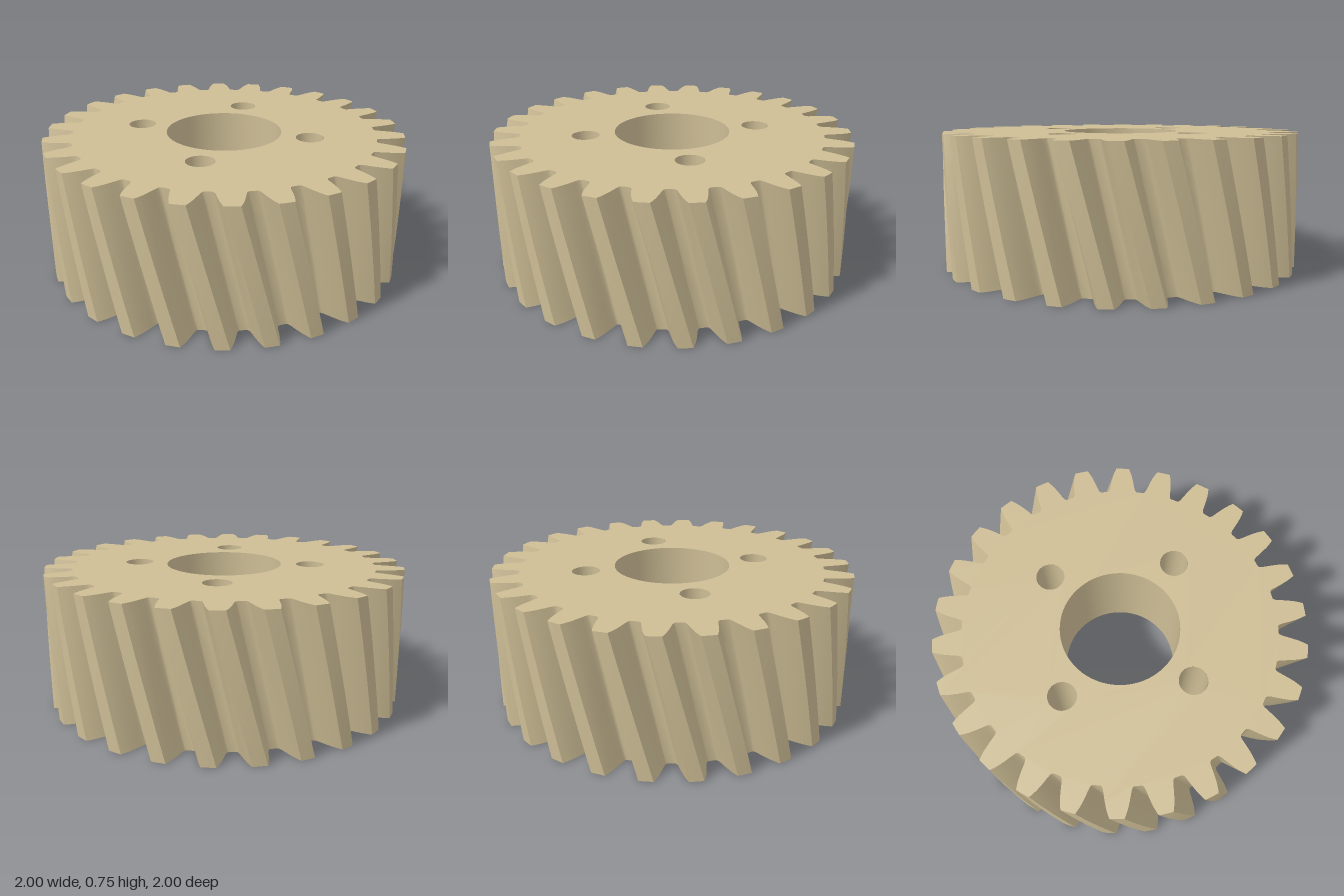
import * as THREE from 'three';
import { toCreasedNormals } from 'three/addons/utils/BufferGeometryUtils.js';

const TEETH = 26, HEIGHT = 0.755, RECESS = 0.19;
const TWIST = 11.3, TOP_PHASE = 2.5; // degrees
const BORE = 0.322, CHAMFER = 0.022, RECESS_R = 0.74;
const BOLT_R = 0.077, BOLT_CIRCLE = 0.485;
const RAD = Math.PI / 180;

// Half of one tooth, from tip corner to gap: [degrees from the gap centre, radius]
const FLANK = [[4.8, 1], [4.25, 0.978], [3.7, 0.953], [3.05, 0.915], [2.5, 0.88], [2.15, 0.86], [1.75, 0.849], [1.2, 0.845]];

// Tooth outline at height y, as [x, z] pairs
function outline(y) {
  const pitch = 360 / TEETH, pts = [];
  const shift = TOP_PHASE + TWIST * (1 - y / HEIGHT);
  const add = (deg, r) => pts.push([r * Math.sin(deg * RAD), r * Math.cos(deg * RAD)]);
  for (let i = 0; i < TEETH; i++) {
    const tooth = shift + i * pitch, gap = tooth + pitch / 2;
    add(tooth, 1);
    FLANK.forEach(([d, r]) => add(gap - d, r));
    [...FLANK].reverse().forEach(([d, r]) => add(gap + d, r));
  }
  return pts;
}

// Helical tooth surface lofted through twisted outlines
function toothSurface(steps = 16) {
  const pos = [], index = [];
  const n = outline(0).length;
  for (let s = 0; s <= steps; s++) {
    const y = HEIGHT * s / steps;
    outline(y).forEach(([x, z]) => pos.push(x, y, z));
  }
  for (let s = 0; s < steps; s++) {
    for (let i = 0; i < n; i++) {
      const a = s * n + i, b = s * n + (i + 1) % n, c = b + n, d = a + n;
      index.push(a, b, d, b, c, d);
    }
  }
  const geo = new THREE.BufferGeometry();
  geo.setAttribute('position', new THREE.Float32BufferAttribute(pos, 3));
  geo.setIndex(index);
  return toCreasedNormals(geo, 0.6);
}

const boltCentres = [0, 1, 2, 3].map(i =>
  [BOLT_CIRCLE * Math.cos(i * Math.PI / 2), BOLT_CIRCLE * Math.sin(i * Math.PI / 2)]);

function circle(r, x = 0, y = 0) {
  return new THREE.Path().absarc(x, y, r, 0, Math.PI * 2, true);
}

// Horizontal face; dir 1 looks up, -1 looks down
function flatFace(shape, holes, y, dir) {
  shape.holes.push(...holes);
  const geo = new THREE.ShapeGeometry(shape, 36);
  geo.rotateX(-dir * Math.PI / 2);
  geo.translate(0, y, 0);
  return geo;
}

function gearShape(y, dir) {
  return new THREE.Shape(outline(y).map(([x, z]) => new THREE.Vector2(x, -dir * z)));
}

// Inward-facing wall, profile given from top to bottom
function innerWall(points, segments = 72) {
  const geo = new THREE.LatheGeometry(points.map(p => new THREE.Vector2(...p)), segments);
  return toCreasedNormals(geo, 0.5);
}

export function createModel() {
  const gear = new THREE.Group();
  gear.name = 'helicalGear';
  const material = new THREE.MeshStandardMaterial({ color: 0xcdbd95 });
  const add = (name, geo) => {
    const mesh = new THREE.Mesh(geo, material);
    mesh.name = name;
    gear.add(mesh);
    return mesh;
  };
  const boltHoles = () => boltCentres.map(([x, z]) => circle(BOLT_R, x, z));

  add('helicalTeeth', toothSurface());
  add('topFace', flatFace(gearShape(HEIGHT, 1), [circle(BORE), ...boltHoles()], HEIGHT, 1));

  // Underside: toothed rim around a round recess
  add('bottomRim', flatFace(gearShape(0, -1), [circle(RECESS_R)], 0, -1));
  add('recessWall', innerWall([[RECESS_R, RECESS], [RECESS_R, 0]]));
  const disc = new THREE.Shape().absarc(0, 0, RECESS_R, 0, Math.PI * 2, false);
  add('recessFloor', flatFace(disc, [circle(BORE + CHAMFER), ...boltHoles()], RECESS, -1));

  // Shaft bore, chamfered at its lower end, and four bolt holes
  add('shaftBore', innerWall([[BORE, HEIGHT], [BORE, RECESS + CHAMFER], [BORE + CHAMFER, RECESS]]));
  boltCentres.forEach(([x, z]) => {
    add('boltHole', innerWall([[BOLT_R, HEIGHT], [BOLT_R, RECESS]], 36)).position.set(x, 0, z);
  });
  return gear;
}
